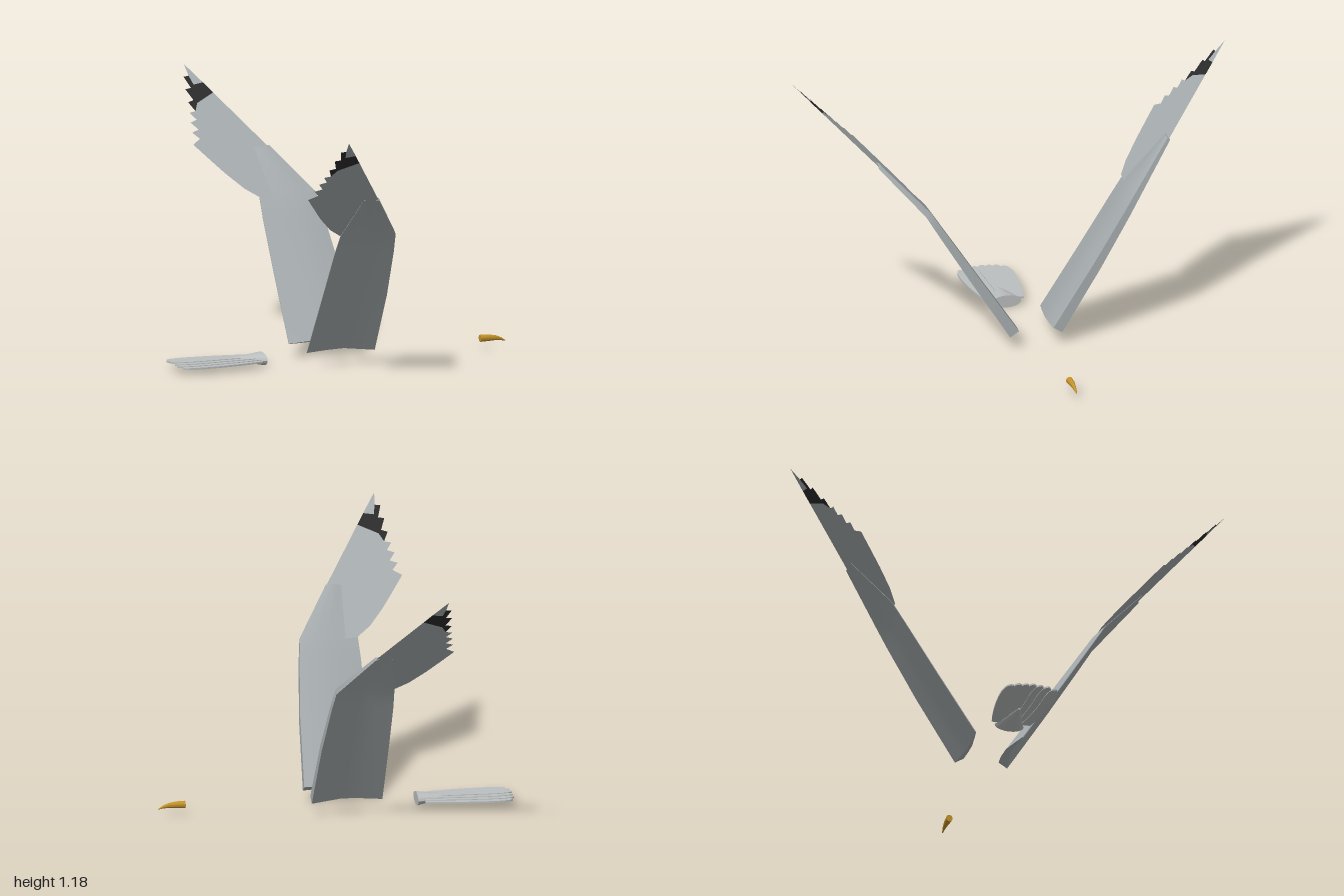
import * as THREE from 'three';
import { toCreasedNormals } from 'three/addons/utils/BufferGeometryUtils.js';

const paint = (name, color, side = THREE.FrontSide) => {
  const m = new THREE.MeshStandardMaterial({ color, side });
  m.name = name;
  return m;
};

// Closed loft through loops that turn counter-clockwise about the travel direction
function loft(sections, crease = 0.6) {
  const n = sections[0].length, last = (sections.length - 1) * n, index = [];
  for (let s = 0; s < sections.length - 1; s++) {
    for (let j = 0; j < n; j++) {
      const a = s * n + j, b = s * n + (j + 1) % n;
      index.push(a, b, b + n, a, b + n, a + n);
    }
  }
  for (let j = 0; j < n / 2 - 1; j++) {
    const a = j, b = j + 1, c = n - 2 - j, d = n - 1 - j;
    index.push(c, b, a, d, c, a);
    index.push(last + a, last + b, last + c, last + a, last + c, last + d);
  }
  const g = new THREE.BufferGeometry();
  g.setAttribute('position', new THREE.Float32BufferAttribute(sections.flat(2), 3));
  g.setIndex(index);
  return toCreasedNormals(g, crease);
}

// Elliptical ring across the x axis
function ring(x, y, ry, rz, n = 20) {
  return Array.from({ length: n }, (_, i) => {
    const a = (i / n) * Math.PI * 2;
    return [x, y + ry * Math.cos(a), rz * Math.sin(a)];
  });
}

// Mirror a geometry across z = 0, keeping faces outward
function mirrorZ(source) {
  const g = source.index ? source.toNonIndexed() : source.clone();
  g.scale(1, 1, -1);
  for (const key of ['position', 'normal']) {
    const a = g.attributes[key];
    for (let i = 0; i < a.count; i += 3) {
      const p = [a.getX(i), a.getY(i), a.getZ(i)];
      a.setXYZ(i, a.getX(i + 2), a.getY(i + 2), a.getZ(i + 2));
      a.setXYZ(i + 2, ...p);
    }
  }
  return g;
}

// Flat sheet lying in the outer wing plane, drawn as (x, z) points
function wingSheet(points) {
  const g = new THREE.ShapeGeometry(new THREE.Shape(points.map(p => new THREE.Vector2(...p))));
  const a = g.attributes.position;
  for (let i = 0; i < a.count; i++) {
    const x = a.getX(i), z = a.getY(i);
    a.setXYZ(i, x, z + 0.18, z);
  }
  g.computeVertexNormals();
  return g;
}

export function createModel() {
  const model = new THREE.Group();
  model.name = 'birdParts';
  const wingGrey = paint('wingGrey', 0xa6acae);
  const featherGrey = paint('featherGrey', 0xa6acae, THREE.DoubleSide);
  const tipBlack = paint('tipBlack', 0x2b2b2b, THREE.DoubleSide);
  const tailGrey = paint('tailGrey', 0xbcbfbf);
  const beakGold = paint('beakGold', 0xc4932a);
  const add = (parent, name, geometry, material) => {
    const mesh = new THREE.Mesh(geometry, material);
    mesh.name = name;
    parent.add(mesh);
  };

  // Cambered wing arm: blunt leading edge, thin trailing edge
  const airfoil = [[0, 0.012], [0.3, 0.022], [0.56, 0.026], [0.8, 0.012], [1, 0],
    [1, 0.047], [0.8, 0.052], [0.56, 0.05], [0.3, 0.035], [0, 0.016]];
  const stations = [ // trailing x, leading x, y, z, normal y, normal z, thickness
    [-0.2, 0.12, 0.055, 0.12, 0.53, -0.85, 1],
    [-0.198, 0.107, 0.335, 0.3, 0.53, -0.85, 0.85],
    [-0.195, 0.085, 0.56, 0.44, 0.55, -0.83, 0.68],
    [-0.19, 0.072, 0.65, 0.495, 0.62, -0.78, 0.6],
    [-0.15, -0.075, 0.843, 0.672, 0.707, -0.707, 0.35],
  ];
  const arm = loft(stations.map(([x0, x1, y, z, ny, nz, k]) =>
    airfoil.map(([u, t]) => [x0 + (x1 - x0) * u, y + ny * t * k, z + nz * t * k])));

  // Outer wing with a toothed row of feather ends
  const lowerTeeth = [[-0.425, 0.695], [-0.385, 0.715], [-0.412, 0.74], [-0.378, 0.75],
    [-0.405, 0.778], [-0.372, 0.788], [-0.396, 0.815], [-0.365, 0.82]];
  const upperTeeth = [[-0.365, 0.82], [-0.386, 0.855], [-0.358, 0.862], [-0.38, 0.905],
    [-0.352, 0.908], [-0.37, 0.952], [-0.345, 0.955]];
  const hand = wingSheet([[0.065, 0.475], [-0.06, 0.47], [-0.185, 0.475], [-0.25, 0.515],
    [-0.32, 0.58], [-0.38, 0.645], ...lowerTeeth, [-0.345, 0.85], [-0.255, 0.885], [-0.08, 0.67]]);
  const band = wingSheet([...upperTeeth, [-0.335, 0.92], [-0.288, 0.926], [-0.255, 0.885],
    [-0.345, 0.85]]);
  const tip = wingSheet([[-0.288, 0.926], [-0.335, 0.92], [-0.345, 0.955], [-0.35, 1]]);

  for (const side of ['left', 'right']) {
    const wing = new THREE.Group();
    wing.name = side + 'Wing';
    model.add(wing);
    const place = g => (side === 'left' ? g : mirrorZ(g));
    add(wing, 'wingArm', place(arm), wingGrey);
    add(wing, 'outerFeathers', place(hand), featherGrey);
    add(wing, 'blackFeathers', place(band), tipBlack);
    add(wing, 'wingTip', place(tip), featherGrey);
  }

  // Tail: flared root and a fan of overlapping feathers
  const tail = new THREE.Group();
  tail.name = 'tail';
  model.add(tail);
  add(tail, 'tailRoot', loft([
    ring(-0.55, 0.034, 0.006, 0.006), ring(-0.46, 0.033, 0.016, 0.036),
    ring(-0.4, 0.031, 0.024, 0.057), ring(-0.37, 0.03, 0.029, 0.067),
  ]), tailGrey);
  for (let i = -3; i <= 3; i++) {
    const z0 = i * 0.022, z1 = i * 0.033, m = Math.abs(i);
    const x0 = -0.4, x1 = -0.8 + (m === 3 ? 0.012 : 0);
    const s = new THREE.Shape();
    s.moveTo(x0, z0 + 0.022);
    s.quadraticCurveTo(-0.55, z1 + 0.024, -0.7, z1 + 0.027);
    s.quadraticCurveTo(x1, z1 + 0.024, x1, z1);
    s.quadraticCurveTo(x1, z1 - 0.024, -0.7, z1 - 0.027);
    s.quadraticCurveTo(-0.55, z1 - 0.024, x0, z0 - 0.022);
    const g = new THREE.ExtrudeGeometry(s, { depth: 0.008, bevelEnabled: false, curveSegments: 6 });
    g.rotateX(Math.PI / 2);
    g.translate(0, 0.043 - m * 0.003, 0);
    add(tail, 'tailFeather', g, tailGrey);
  }

  // Beak, hooked down at its point
  add(model, 'beak', loft([
    ring(0.67, 0.046, 0.016, 0.015), ring(0.71, 0.046, 0.015, 0.013),
    ring(0.745, 0.044, 0.011, 0.009), ring(0.77, 0.038, 0.007, 0.006),
    ring(0.792, 0.028, 0.0015, 0.0015),
  ]), beakGold);

  return model;
}
